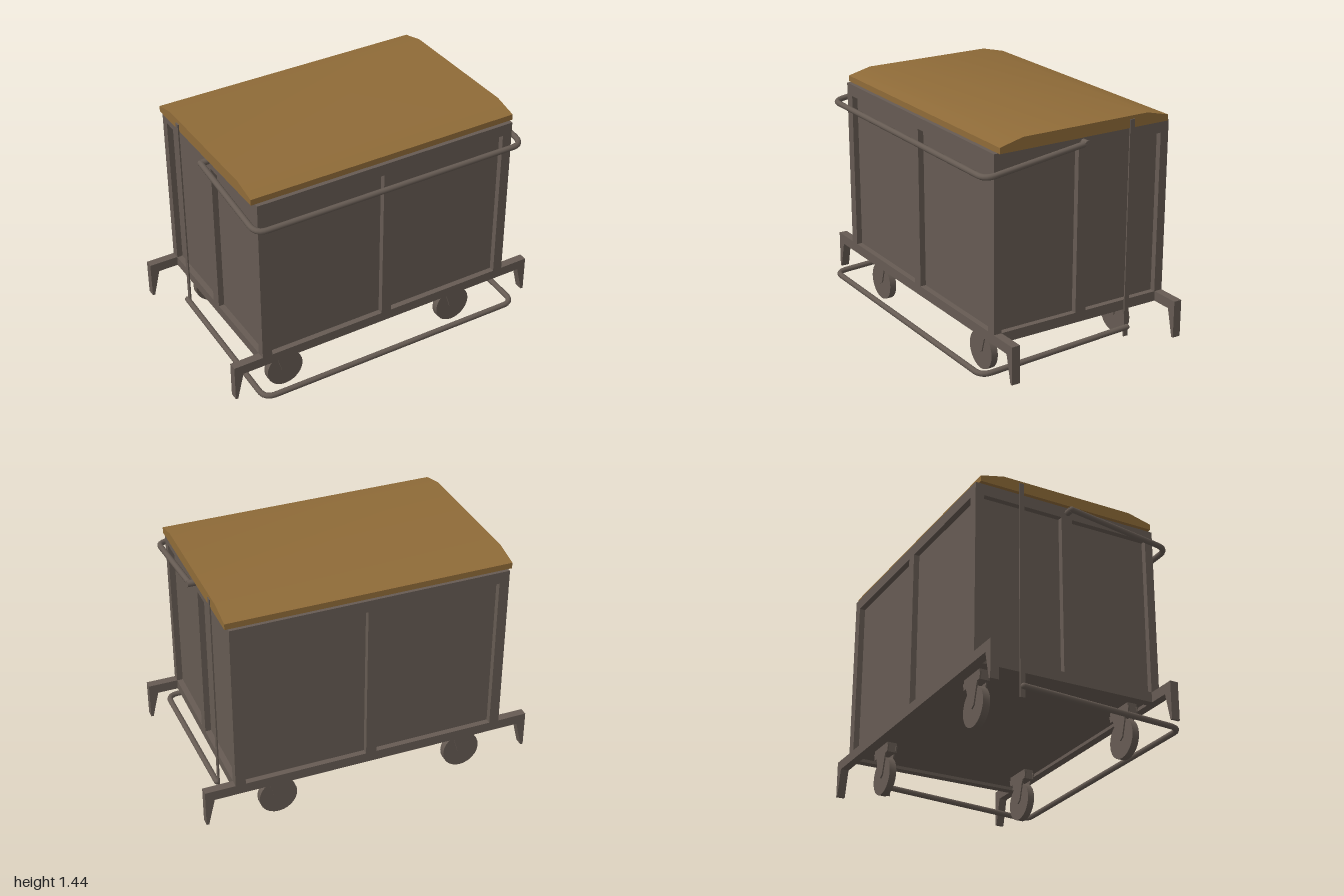
import * as THREE from 'three';
import { toCreasedNormals } from 'three/addons/utils/BufferGeometryUtils.js';

export function createModel() {
  const model = new THREE.Group();
  const metal = new THREE.MeshStandardMaterial({ color: 0x665b53 });
  metal.name = 'greyMetal';
  const ochre = new THREE.MeshStandardMaterial({ color: 0x8f6b38 });
  ochre.name = 'ochreLid';

  const add = (name, geometry, material = metal, parent = model) => {
    const mesh = new THREE.Mesh(geometry, material);
    mesh.name = name;
    parent.add(mesh);
    return mesh;
  };
  const points = (list) => list.map(([x, y]) => new THREE.Vector2(x, y));
  const extrude = (outline, depth, holes = []) => {
    const shape = new THREE.Shape(points(outline));
    for (const [a, b] of holes) {
      shape.holes.push(new THREE.Path(points([[a, 0.34], [a, 1.3], [b, 1.3], [b, 0.34]])));
    }
    return new THREE.ExtrudeGeometry(shape, { depth, bevelEnabled: false });
  };
  const box = (name, x0, x1, y0, y1, z0, z1, parent) => {
    const mesh = add(name, new THREE.BoxGeometry(x1 - x0, y1 - y0, z1 - z0), metal, parent);
    mesh.position.set((x0 + x1) / 2, (y0 + y1) / 2, (z0 + z1) / 2);
    return mesh;
  };

  // Inner container, whose walls are the recessed panels
  box('innerPanels', -0.785, 0.785, 0.3, 1.368, -0.6, 0.485);

  // Front and back frames, each with outriggers and tapered feet
  const outline = [
    [-0.82, 1.37], [-0.82, 0.34], [-1, 0.34], [-1, 0.115], [-0.985, 0.115], [-0.945, 0.28],
    [0.945, 0.28], [0.985, 0.115], [1, 0.115], [1, 0.34], [0.82, 0.34], [0.82, 1.37],
  ];
  const windows = [[-0.76, -0.035], [0.03, 0.76]];
  add('frontFrame', extrude(outline, 0.05, windows)).position.z = 0.47;
  add('backFrame', extrude(outline, 0.05, windows)).position.z = -0.635;

  // Side frames, drawn in z and turned to face sideways
  const sideOutline = [[-0.52, 0.28], [0.635, 0.28], [0.635, 1.37], [-0.52, 1.37]];
  const sideWindows = [[-0.47, 0.022], [0.09, 0.582]];
  for (const [name, x] of [['leftFrame', 0.77], ['rightFrame', -0.82]]) {
    const side = add(name, extrude(sideOutline, 0.05, sideWindows));
    side.rotation.y = Math.PI / 2;
    side.position.x = x;
  }

  // Lid with sloping front and back
  const lidProfile = [
    [-0.495, 1.37], [0.615, 1.37], [0.615, 1.405], [0.47, 1.44], [-0.35, 1.44], [-0.495, 1.405],
  ];
  const lid = add('lid', toCreasedNormals(extrude(lidProfile, 1.68), 0.6), ochre);
  lid.rotation.y = Math.PI / 2;
  lid.position.x = -0.843;

  // U-shaped handle bars with rounded corners
  const handle = (name, zBack, yBack, zFront, yFront) => {
    const at = (x, z) => new THREE.Vector3(
      x, yBack + (yFront - yBack) * (z - zBack) / (zFront - zBack), z);
    const L = -0.866, R = 0.849, r = 0.07;
    const path = new THREE.CurvePath();
    path.add(new THREE.LineCurve3(at(L, zBack), at(L, zFront - r)));
    path.add(new THREE.QuadraticBezierCurve3(at(L, zFront - r), at(L, zFront), at(L + r, zFront)));
    path.add(new THREE.LineCurve3(at(L + r, zFront), at(R - r, zFront)));
    path.add(new THREE.QuadraticBezierCurve3(at(R - r, zFront), at(R, zFront), at(R, zFront - r)));
    path.add(new THREE.LineCurve3(at(R, zFront - r), at(R, zBack)));
    add(name, new THREE.TubeGeometry(path, 160, 0.017, 10));
    for (const x of [L, R]) {
      const cap = add(name + 'End', new THREE.SphereGeometry(0.017, 10, 8));
      cap.position.copy(at(x, zBack));
    }
  };
  handle('upperHandle', -0.05, 1.338, 0.59, 1.255);
  handle('lowerHandle', -0.365, 0.18, 0.618, 0.135);

  // Handle pivots and the thin linking straps
  for (const [s, x] of [[-1, -0.851], [1, 0.838]]) {
    const pivot = add('handlePivot', new THREE.CylinderGeometry(0.019, 0.019, 0.06, 12));
    pivot.rotation.z = Math.PI / 2;
    pivot.position.set(s * 0.835, 1.338, -0.05);
    box('linkStrap', x - 0.004, x + 0.004, 0.12, 1.42, -0.38, -0.35);
  }

  // Castors: disc wheel between two tapered fork plates
  const fork = [
    [-0.1, 0.28], [-0.09, 0.24], [-0.065, 0.24], [-0.055, 0.215], [-0.025, 0.115], [0, 0.1],
    [0.025, 0.115], [0.055, 0.215], [0.065, 0.24], [0.09, 0.24], [0.1, 0.28],
  ];
  for (const x of [-0.63, 0.535]) {
    for (const z of [0.405, -0.52]) {
      const castor = new THREE.Group();
      castor.name = 'castor';
      castor.position.set(x, 0, z);
      const wheel = add('wheel', toCreasedNormals(
        new THREE.CylinderGeometry(0.115, 0.115, 0.042, 24), 0.6), metal, castor);
      wheel.rotation.x = Math.PI / 2;
      wheel.position.y = 0.115;
      for (const dz of [-0.031, 0.023]) {
        add('forkPlate', extrude(fork.slice().reverse(), 0.008), metal, castor).position.z = dz;
      }
      box('mountPlate', -0.09, 0.09, 0.24, 0.3, -0.03, 0.03, castor);
      model.add(castor);
    }
  }
  return model;
}
